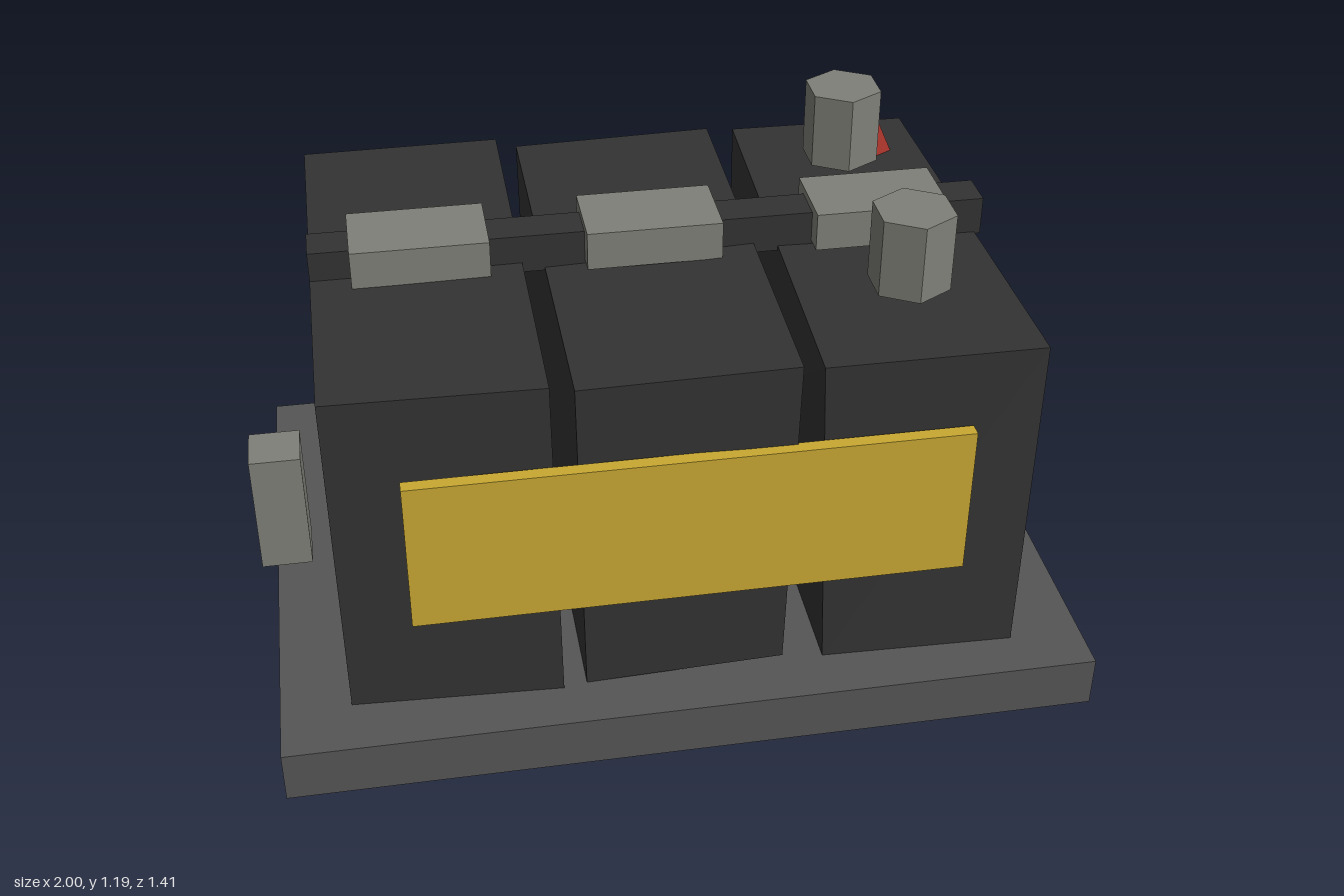
import * as THREE from 'three';

const mat = (name, color) => {
  const m = new THREE.MeshStandardMaterial({ color });
  m.name = name;
  return m;
};

export function createModel() {
  const model = new THREE.Group();
  model.name = 'batteryBank';
  const casing = mat('charcoal casing', 0x333333);
  const steel = mat('dark tray grey', 0x555555);
  const metal = mat('light metal', 0x7f8078);
  const yellow = mat('label yellow', 0xc8a832);
  const red = mat('cable red', 0xba3a31);

  // Faceted mesh: one normal per face
  const add = (name, geometry, material) => {
    const g = geometry.index ? geometry.toNonIndexed() : geometry;
    g.computeVertexNormals();
    const mesh = new THREE.Mesh(g, material);
    mesh.name = name;
    model.add(mesh);
    return mesh;
  };

  // Box given by its limits on each axis
  const box = (name, [x0, x1], [y0, y1], [z0, z1], material) =>
    add(name, new THREE.BoxGeometry(x1 - x0, y1 - y0, z1 - z0)
      .translate((x0 + x1) / 2, (y0 + y1) / 2, (z0 + z1) / 2), material);

  // Slightly warped box; corners run back left, back right, front left, front right (-x first), bottom then top
  const warpedBox = (name, corners, material) => {
    const g = new THREE.BoxGeometry(1, 1, 1);
    const p = g.attributes.position;
    for (let i = 0; i < p.count; i++) {
      const k = (p.getY(i) > 0 ? 4 : 0) + (p.getZ(i) > 0 ? 2 : 0) + (p.getX(i) > 0 ? 1 : 0);
      p.setXYZ(i, ...corners[k]);
    }
    return add(name, g, material);
  };

  // Tray
  box('baseTray', [-0.965, 0.96], [0, 0.13], [-0.705, 0.705], steel);

  // Three dented cells
  warpedBox('cellRight', [
    [-0.80, 0.12, -0.58], [-0.295, 0.12, -0.58], [-0.80, 0.12, 0.56], [-0.305, 0.12, 0.585],
    [-0.805, 0.975, -0.595], [-0.31, 0.975, -0.60], [-0.805, 0.97, 0.555], [-0.315, 0.975, 0.575],
  ], casing);
  warpedBox('cellMiddle', [
    [-0.25, 0.12, -0.57], [0.25, 0.14, -0.57], [-0.25, 0.13, 0.575], [0.22, 0.15, 0.58],
    [-0.26, 0.96, -0.58], [0.245, 0.975, -0.57], [-0.26, 0.955, 0.565], [0.235, 0.975, 0.585],
  ], casing);
  warpedBox('cellLeft', [
    [0.32, 0.12, -0.57], [0.775, 0.12, -0.57], [0.32, 0.12, 0.575], [0.785, 0.12, 0.59],
    [0.315, 0.965, -0.575], [0.775, 0.955, -0.585], [0.285, 0.96, 0.575], [0.795, 0.955, 0.57],
  ], casing);

  // Hold-down strap and its vent caps
  box('topStrap', [-0.805, 0.80], [0.95, 1.045], [-0.05, 0.045], casing);
  for (const x of [-0.55, -0.005, 0.54])
    box('ventCap', [x - 0.16, x + 0.16], [0.97, 1.064], [-0.097, 0.094], metal);

  // Hexagonal terminals
  for (const z of [-0.32, 0.32])
    add('terminal', new THREE.CylinderGeometry(0.097, 0.097, 0.19, 6).translate(0.54, 1.096, z), metal);

  // Warning plate and side latch
  box('frontLabel', [-0.645, 0.635], [0.39, 0.77], [0.578, 0.61], yellow);
  box('sideLatch', [-1, -0.875], [0.165, 0.485], [-0.065, 0.06], metal);

  // Loose cable, from the rear terminal out through the side
  const from = new THREE.Vector3(0.60, 1.085, -0.38);
  const to = new THREE.Vector3(0.96, 0.32, -0.645);
  const axis = from.clone().sub(to);
  const cable = add('looseCable', new THREE.CylinderGeometry(0.043, 0.043, axis.length(), 6), red);
  cable.position.copy(from).add(to).multiplyScalar(0.5);
  cable.quaternion.setFromUnitVectors(new THREE.Vector3(0, 1, 0), axis.normalize());

  return model;
}
